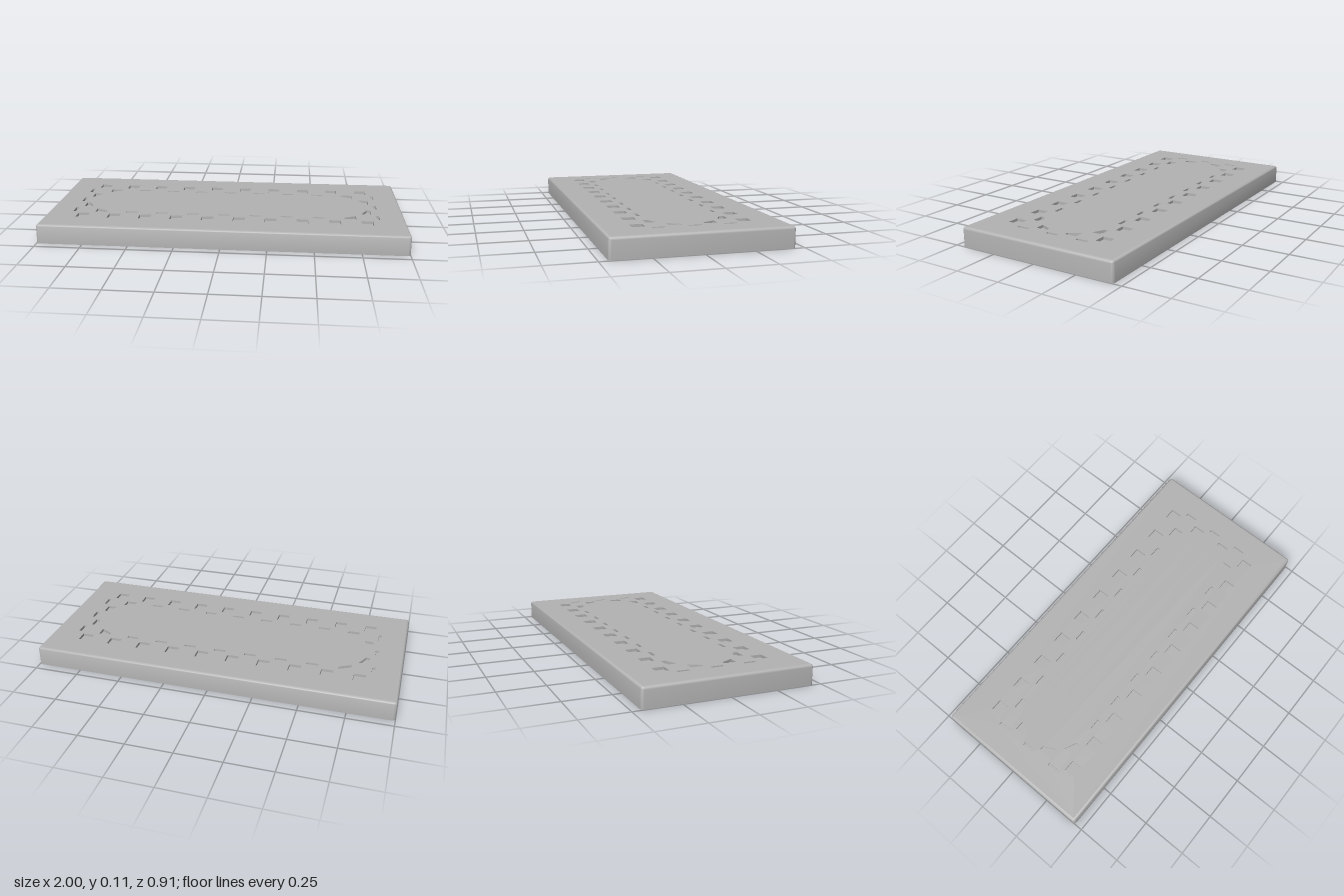
import * as THREE from 'three';
import { toCreasedNormals } from 'three/addons/utils/BufferGeometryUtils.js';

const HX = 1, HZ = 0.455, TOP = 0.108;   // half length, half depth, height
const EDGE = 0.015, WALL = 0.025;        // edge rounding, rim thickness
const CEIL = 0.072, FLOOR = 0.093;       // underside of the deck, pocket floor
const PX = 0.0875, PZ = 0.09, CELL = 0.0325; // pocket lattice and half cell
const OVAL_X = 0.61, OVAL_R = 0.195;     // plain oval in the middle

// Rounded rectangle outline, counter-clockwise, inset from the outer wall
function outline(inset) {
  const r = Math.max(EDGE - inset, 0.001), pts = [];
  for (let c = 0; c < 4; c++) {
    const sx = c === 0 || c === 3 ? 1 : -1, sz = c < 2 ? 1 : -1;
    for (let k = 0; k <= 4; k++) {
      const a = (c + k / 4) * Math.PI / 2;
      pts.push(new THREE.Vector2(
        sx * (HX - inset - r) + r * Math.cos(a),
        sz * (HZ - inset - r) + r * Math.sin(a)));
    }
  }
  return pts;
}

// Skin running through the outlines of a profile of [inset, y] pairs
function loft(profile) {
  const pos = [], idx = [];
  const n = outline(0).length;
  for (const [inset, y] of profile) for (const p of outline(inset)) pos.push(p.x, y, -p.y);
  for (let j = 0; j < profile.length - 1; j++) {
    for (let i = 0; i < n; i++) {
      const a = j * n + i, b = j * n + (i + 1) % n;
      idx.push(a, b, b + n, a, b + n, a + n);
    }
  }
  const g = new THREE.BufferGeometry();
  g.setAttribute('position', new THREE.Float32BufferAttribute(pos, 3));
  g.setIndex(idx);
  return toCreasedNormals(g, 0.6);
}

// Flat plate with holes between two heights
function plate(inset, y0, y1, holes) {
  const shape = new THREE.Shape(outline(inset));
  shape.holes.push(...holes);
  const g = new THREE.ExtrudeGeometry(shape, { depth: y1 - y0, bevelEnabled: false, curveSegments: 8 });
  g.rotateX(-Math.PI / 2);
  g.translate(0, y0, 0);
  return g;
}

// Keep the part of a polygon where p.n >= d
function clip(poly, n, d) {
  const out = [];
  poly.forEach((a, i) => {
    const b = poly[(i + 1) % poly.length];
    const da = a.dot(n) - d, db = b.dot(n) - d;
    if (da >= 0) out.push(a);
    if (da * db < 0) out.push(a.clone().lerp(b, da / (da - db)));
  });
  return out;
}

// Staggered square pockets, trimmed by the oval and by the end limits
function pockets() {
  const list = [];
  for (let i = -10; i <= 10; i++) {
    for (let j = -3; j <= 3; j++) {
      if ((i + j) % 2 !== 0) continue;
      const c = new THREE.Vector2(i * PX, j * PZ);
      let poly = [[-1, -1], [1, -1], [1, 1], [-1, 1]].map(
        ([x, y]) => new THREE.Vector2(c.x + x * CELL, c.y + y * CELL));
      const core = new THREE.Vector2(THREE.MathUtils.clamp(c.x, -OVAL_X, OVAL_X), 0);
      const n = c.clone().sub(core);
      if (n.length() < 0.01) continue;
      n.normalize();
      poly = clip(poly, n, OVAL_R + core.dot(n));
      poly = clip(poly, new THREE.Vector2(1, 0), -0.86);
      poly = clip(poly, new THREE.Vector2(-1, 0), -0.86);
      if (poly.length > 2) list.push(new THREE.Path(poly));
    }
  }
  return list;
}

// Staggered round recesses under the oval
function recesses() {
  const list = [];
  for (let row = -2; row <= 2; row++) {
    for (let k = -9; k <= 9; k++) {
      const x = (k + (row % 2 ? 0.5 : 0)) * 0.1, z = row * 0.08;
      const dx = Math.max(Math.abs(x) - OVAL_X, 0);
      if (Math.hypot(dx, z) > 0.18) continue;
      list.push(new THREE.Path().absarc(x, z, 0.031, 0, Math.PI * 2, true));
    }
  }
  return list;
}

export function createModel() {
  const model = new THREE.Group();
  const grey = new THREE.MeshStandardMaterial({ color: 0xb3b3b3 });
  grey.name = 'light grey';
  const add = (name, geometry) => {
    const mesh = new THREE.Mesh(geometry, grey);
    mesh.name = name;
    model.add(mesh);
    return mesh;
  };

  // Inner wall, rim, outer wall and rounded top edge
  const profile = [[WALL, CEIL], [WALL, 0], [0, 0]];
  for (let k = 0; k <= 5; k++) {
    const a = k / 5 * Math.PI / 2;
    profile.push([EDGE * (1 - Math.cos(a)), TOP - EDGE + EDGE * Math.sin(a)]);
  }
  add('shell', loft(profile));

  // Deck: pocketed top, solid middle, recessed underside
  add('topPlate', plate(EDGE, FLOOR, TOP, pockets()));
  add('pocketFloor', plate(WALL, FLOOR - 0.003, FLOOR, []));
  add('undersidePlate', plate(WALL, CEIL, FLOOR - 0.003, recesses()));

  // Small catches on the long inner walls
  for (const x of [-0.65, 0.65]) {
    for (const side of [-1, 1]) {
      add('catch', new THREE.SphereGeometry(0.014, 12, 8))
        .position.set(x, 0.035, side * (HZ - WALL));
    }
  }
  return model;
}
